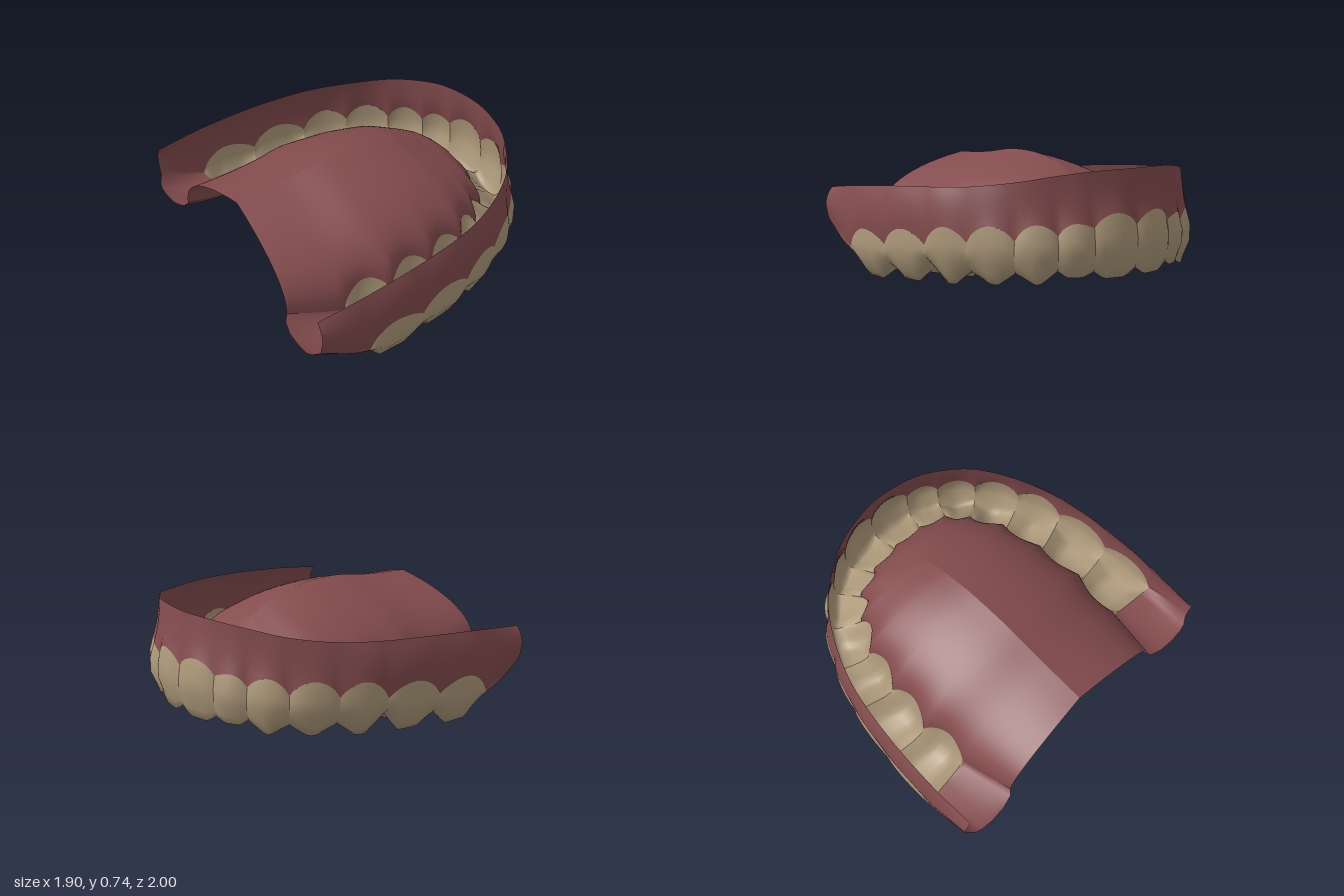
import * as THREE from 'three';

const gumMat = new THREE.MeshStandardMaterial({ color: 0x844c4e, side: THREE.DoubleSide });
gumMat.name = 'gum pink';
const toothMat = new THREE.MeshStandardMaterial({ color: 0xae9a7b, side: THREE.DoubleSide });
toothMat.name = 'tooth ivory';

// Stations along half the arch: 0 = front midline, 1..7 = gaps between teeth, 8 = back end
const OUT_X = [0.925, 0.88, 0.79, 0.64, 0.405, 0.13, -0.22, -0.59, -0.905];
const OUT_Z = [0, 0.27, 0.455, 0.64, 0.79, 0.893, 0.95, 0.97, 0.962];
const IN_X = [0.72, 0.70, 0.64, 0.52, 0.33, 0.06, -0.25, -0.56, -0.90];
const IN_Z = [0, 0.21, 0.38, 0.49, 0.60, 0.66, 0.695, 0.665, 0.60];
const MID_X = [0.50, 0.50, 0.46, 0.38, 0.22, 0, -0.27, -0.55, -0.86];
const MID_Y = [0.545, 0.545, 0.565, 0.61, 0.68, 0.73, 0.735, 0.695, 0.67];
const RIM_Y = [0.715, 0.71, 0.69, 0.655, 0.62, 0.60, 0.575, 0.54, 0.50];
const GUM_Y = [0.40, 0.40, 0.36, 0.33, 0.31, 0.27, 0.23, 0.17, 0.35];
const TIP_Y = [0.155, 0.155, 0.165, 0.15, 0.14, 0.16, 0.10, 0.14, 0.24];
const IN_Y = [0.25, 0.25, 0.25, 0.24, 0.23, 0.22, 0.21, 0.20, 0.29];
// Per tooth: gum line peak, lowest tip, flatness of the biting edge
const TEETH = [
  ['centralIncisor', 0.478, 0.11, 1.9], ['lateralIncisor', 0.43, 0.125, 1.9],
  ['canine', 0.425, 0.085, 1.1], ['firstPremolar', 0.412, 0.075, 1.2],
  ['secondPremolar', 0.39, 0.05, 1.2], ['firstMolar', 0.345, 0.035, 1.6],
  ['secondMolar', 0.30, 0.002, 1.8],
];
const STEPS = 10;
const { lerp, smoothstep, clamp } = THREE.MathUtils;

// Smooth curve through the stations, mirrored at the midline
function curve(arr, u, odd = false) {
  const i = Math.min(7, Math.floor(u)), t = u - i;
  const g = (k) => (k < 0 ? (odd ? -arr[1] : arr[1]) : k > 8 ? 2 * arr[8] - arr[7] : arr[k]);
  const a = g(i - 1), b = g(i), c = g(i + 1), d = g(i + 2);
  return b + 0.5 * t * (c - a + t * (2 * a - 5 * b + 4 * c - d + t * (3 * (b - c) + d - a)));
}
function linear(arr, u) {
  const i = Math.min(7, Math.floor(u));
  return lerp(arr[i], arr[i + 1], u - i);
}

// Point on the palate vault: a runs from 0 at the ridge to 1 at the midline
function vault(u, a) {
  const angle = (a * Math.PI) / 2;
  const c = a >= 1 ? 0 : Math.pow(Math.cos(angle), 0.85);
  const rise = lerp(Math.pow(Math.sin(angle), 0.78), 1 - c, 0.32);
  return new THREE.Vector3(
    lerp(curve(MID_X, u), curve(IN_X, u), c),
    lerp(curve(IN_Y, u), curve(MID_Y, u), rise),
    curve(IN_Z, u, true) * c,
  );
}

// All measures of the arch at station u
function station(u) {
  const k = Math.min(7, Math.floor(u)), v = u - k, tooth = TEETH[k];
  const tri = 1 - Math.abs(2 * v - 1);
  const round = tooth ? Math.pow(Math.max(0, Math.sin(Math.PI * v)), 0.72) : 0;
  const edge = tooth ? clamp(tri * tooth[3], 0, 1) : 0;
  const back = smoothstep(u, 2.4, 4.2);
  const out = new THREE.Vector2(curve(OUT_X, u), curve(OUT_Z, u, true));
  const dir = out.clone().sub(new THREE.Vector2(curve(IN_X, u), curve(IN_Z, u, true))).normalize();
  const gumBase = linear(GUM_Y, u), tipBase = linear(TIP_Y, u);
  return {
    out, dir, round, edge, back,
    gum: tooth ? lerp(gumBase, tooth[1], round) : gumBase,
    tip: tooth ? lerp(tipBase, tooth[2], edge) : tipBase - 0.06 * v * (1 - v),
    swell: lerp(0, 0.018, back),
    tail: smoothstep(u, 7.2, 8),
  };
}

// Palate from the scalloped inner gum line to the midline
function palatePoint(u, s, f) {
  const p = vault(u, lerp(0.17 * s.round, 1, f));
  const push = lerp(0.05, 0.038, s.back) * s.round * Math.pow(1 - f, 4);
  return p.sub(new THREE.Vector3(s.dir.x * push, 0, s.dir.y * push));
}
function palateRow(u) {
  const s = station(u), pts = [];
  for (let j = 0; j <= 14; j++) pts.push(palatePoint(u, s, j / 14).toArray());
  return pts;
}

// Outer flange, from the rim down to the scalloped gum line
function flangeRow(u) {
  const s = station(u), rim = curve(RIM_Y, u), pts = [];
  const bulge = lerp(-0.018, 0.026, smoothstep(u, 1.5, 6));
  const top = lerp(-0.045, -0.02, smoothstep(u, 0, 5));
  for (let j = 0; j <= 7; j++) {
    const f = j / 7;
    const off = (1 - f) ** 2 * top + f * f * s.swell + f ** 4 * 0.01 * s.round + 4 * f * (1 - f) * bulge * 0.85;
    const p = s.out.clone().addScaledVector(s.dir, off);
    pts.push([p.x, lerp(rim, s.gum, f), p.y]);
  }
  return pts;
}

// Tooth or ridge section, from the outer gum line under the edge to the inner gum line
function crownRow(u) {
  const s = station(u), b = s.back, inner = palatePoint(u, s, 0);
  const inward = new THREE.Vector2(inner.x, inner.z).sub(s.out);
  const depth = inward.length();
  inward.normalize();
  const groove = 0.028 * s.edge * b;
  const bump = (lerp(0.012, 0.004, b) + lerp(0.025, 0.012, b) * s.round) * (1 - s.tail);
  const down = (f) => lerp(s.gum, s.tip, f), up = (f) => lerp(s.tip, inner.y, f);
  const section = [
    [-s.swell - 0.01 * s.round, s.gum],
    [-s.swell * (1 - 0.3 * s.tail) - bump, down(0.3)],
    [-s.swell * 0.6 * (1 - s.tail) - bump, down(0.58)],
    [lerp(0.0, 0.02, b) + 0.02 * s.tail, down(0.85)],
    [depth * lerp(0.06, 0.16 + 0.06 * s.tail, b), s.tip],
    [depth * lerp(0.16, 0.44, b), up(0.04) + groove],
    [depth * lerp(0.45, 0.72, b), up(lerp(0.45, 0.06, b))],
    [depth * lerp(0.78, 0.93, b), up(lerp(0.75, 0.45, b))],
    [depth, inner.y],
  ];
  return section.map(([inset, y]) => {
    const p = s.out.clone().addScaledVector(inward, inset);
    const across = clamp(inset / depth, 0, 1);
    const overhang = 0.047 * s.tail * Math.sqrt(4 * across * (1 - across));
    return [p.x - overhang, y, p.y];
  });
}

// Skin a row function between two stations; negative stations are the mirrored side
function skin(name, rowAt, from, to, material) {
  const n = Math.round((to - from) * STEPS), pos = [], idx = [];
  for (let i = 0; i <= n; i++) {
    const u = from + i / STEPS, side = u < 0 ? -1 : 1;
    // rounding keeps the gaps between teeth exactly on whole stations
    const row = rowAt(Math.round(Math.abs(u) * STEPS) / STEPS), w = row.length;
    for (const [x, y, z] of row) pos.push(x, y, z * side);
    if (i === n) break;
    for (let j = 0; j < w - 1; j++) {
      const a = i * w + j, b = a + w;
      idx.push(a, b, a + 1, b, b + 1, a + 1);
    }
  }
  const geo = new THREE.BufferGeometry();
  geo.setAttribute('position', new THREE.Float32BufferAttribute(pos, 3));
  geo.setIndex(idx);
  geo.computeVertexNormals();
  const mesh = new THREE.Mesh(geo, material);
  mesh.name = name;
  return mesh;
}

export function createModel() {
  const model = new THREE.Group();
  model.name = 'upperDenture';
  model.add(skin('outerGum', flangeRow, -8, 8, gumMat));
  model.add(skin('palate', palateRow, -8, 8, gumMat));
  // Bare ridges behind the last molars
  model.add(skin('leftRidge', crownRow, 7, 8, gumMat));
  model.add(skin('rightRidge', crownRow, -8, -7, gumMat));
  // Teeth on both sides
  const teeth = new THREE.Group();
  teeth.name = 'teeth';
  TEETH.forEach(([name], k) => {
    teeth.add(skin(name + 'Left', crownRow, k, k + 1, toothMat));
    teeth.add(skin(name + 'Right', crownRow, -k - 1, -k, toothMat));
  });
  model.add(teeth);
  return model;
}
